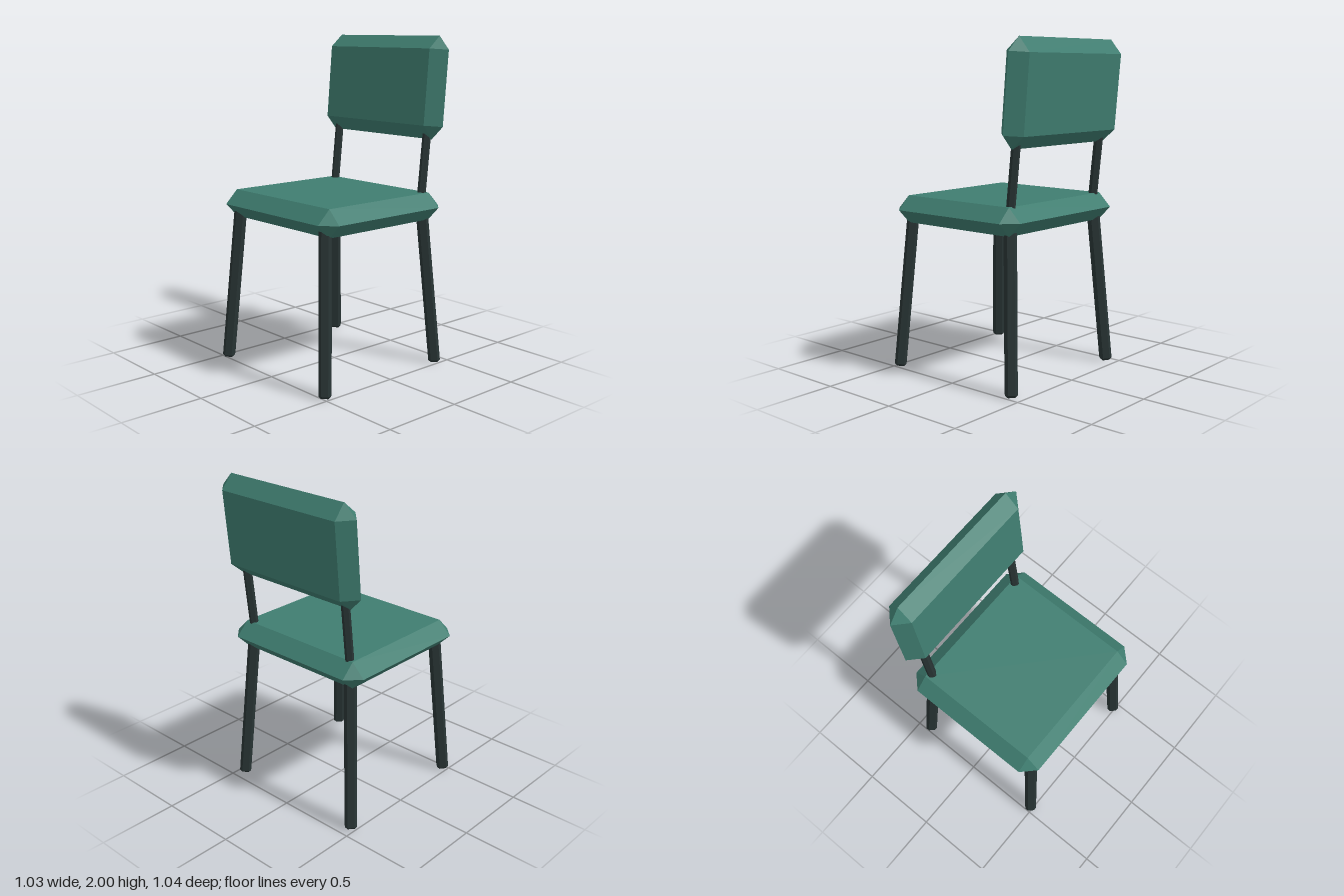
import * as THREE from 'three';
import { ConvexGeometry } from 'three/addons/geometries/ConvexGeometry.js';

const teal = new THREE.MeshStandardMaterial({ color: 0x3f7d70 });
teal.name = 'teal upholstery';
const dark = new THREE.MeshStandardMaterial({ color: 0x283434 });
dark.name = 'dark frame';

// Box with chamfered edges and cut corners; half sizes and bevel width
function chamferBox(hx, hy, hz, b) {
  const corners = new Map();
  for (const x of [-1, 1]) for (const y of [-1, 1]) for (const z of [-1, 1]) {
    const ix = x * (hx - b), iy = y * (hy - b), iz = z * (hz - b);
    for (const p of [[x * hx, iy, iz], [ix, y * hy, iz], [ix, iy, z * hz]]) {
      // Corners that coincide are kept once
      corners.set(p.map((v) => Math.round(v * 10000)).join(), new THREE.Vector3(...p));
    }
  }
  return new ConvexGeometry([...corners.values()]);
}

// Chamfered square bar between two points, its section turned by 45 degrees
function bar(name, from, to, half, bevel) {
  const dir = to.clone().sub(from);
  const mesh = new THREE.Mesh(chamferBox(half, dir.length() / 2, half, bevel), dark);
  mesh.name = name;
  mesh.position.copy(from).add(to).multiplyScalar(0.5);
  const up = new THREE.Vector3(0, 1, 0);
  mesh.quaternion.setFromUnitVectors(up, dir.normalize())
    .multiply(new THREE.Quaternion().setFromAxisAngle(up, Math.PI / 4));
  return mesh;
}

export function createModel() {
  const chair = new THREE.Group();
  chair.name = 'chair';

  // Seat cushion
  const seat = new THREE.Mesh(chamferBox(0.513, 0.0825, 0.48, 0.0825), teal);
  seat.name = 'seat';
  seat.position.set(0, 0.9875, 0.02);
  chair.add(seat);

  // Leaning backrest
  const back = new THREE.Mesh(chamferBox(0.511, 0.306, 0.08, 0.08), teal);
  back.name = 'backrest';
  back.position.set(0, 1.695, -0.4225);
  back.rotation.x = -0.087;
  chair.add(back);

  for (const [s, side] of [[1, 'left'], [-1, 'right']]) {
    // Splayed legs
    chair.add(bar(side + 'FrontLeg', new THREE.Vector3(s * 0.463, 0.003, 0.48),
      new THREE.Vector3(s * 0.395, 0.96, 0.415), 0.036, 0.0155));
    chair.add(bar(side + 'BackLeg', new THREE.Vector3(s * 0.463, 0.003, -0.422),
      new THREE.Vector3(s * 0.395, 0.96, -0.357), 0.036, 0.0155));
    // Uprights carrying the backrest
    chair.add(bar(side + 'Upright', new THREE.Vector3(s * 0.391, 1.0, -0.351),
      new THREE.Vector3(s * 0.391, 1.5, -0.404), 0.025, 0.011));
  }
  return chair;
}
